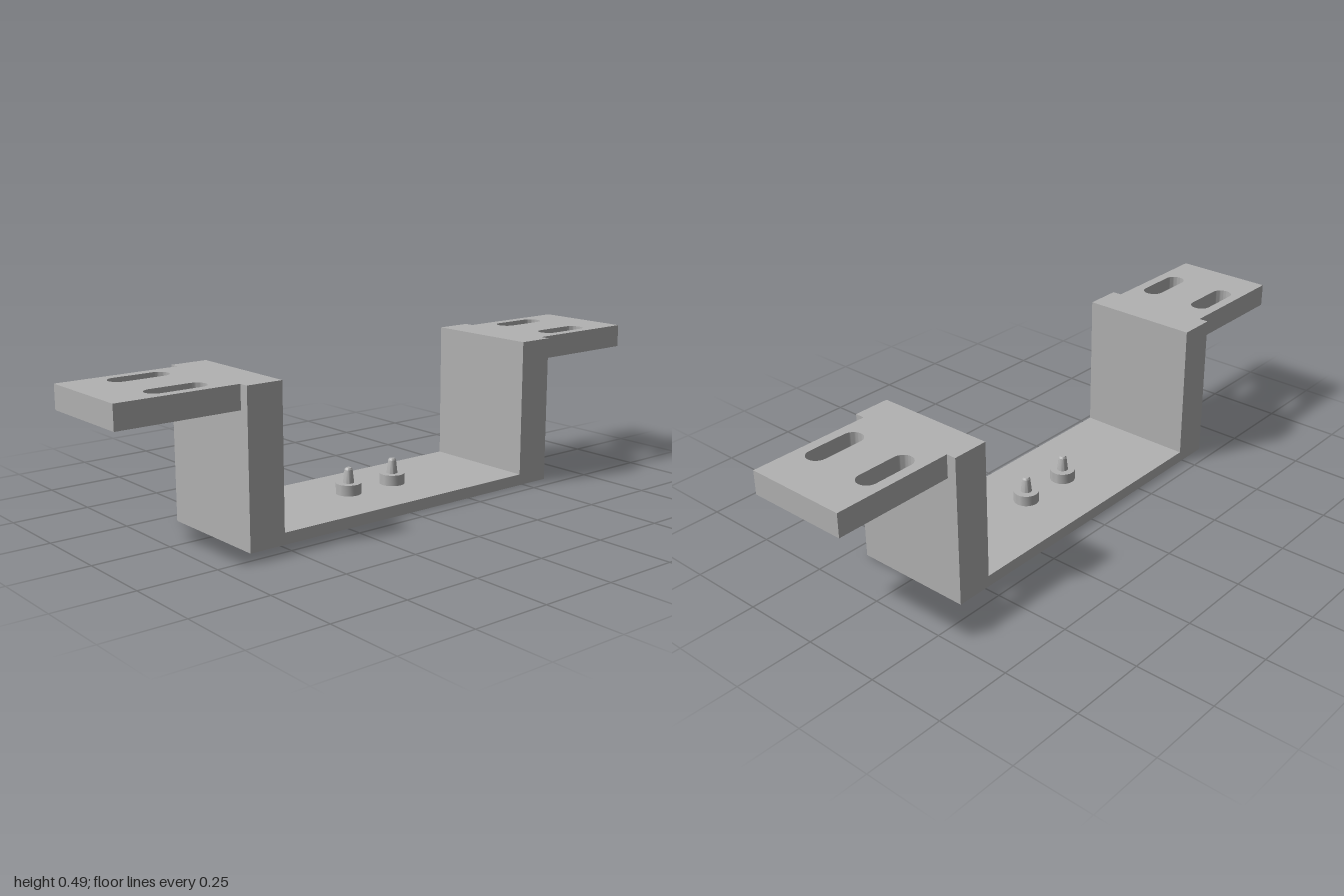
import * as THREE from 'three';
import { toCreasedNormals } from 'three/addons/utils/BufferGeometryUtils.js';

const HEIGHT = 0.486, OUTER = 0.605, INNER = 0.485, FLOOR = 0.037, DEPTH = 0.395;

// Extrude a shape and keep its corners sharp
function extrude(shape, depth) {
  const geo = new THREE.ExtrudeGeometry(shape, { depth, bevelEnabled: false, curveSegments: 16 });
  return toCreasedNormals(geo, 0.5);
}

// Rounded slot outline, lying along x
function slotPath(x0, x1, z, r) {
  const path = new THREE.Path();
  path.moveTo(x0 + r, z - r);
  path.lineTo(x1 - r, z - r);
  path.absarc(x1 - r, z, r, -Math.PI / 2, Math.PI / 2, false);
  path.lineTo(x0 + r, z + r);
  path.absarc(x0 + r, z, r, Math.PI / 2, Math.PI * 1.5, false);
  return path;
}

export function createModel() {
  const group = new THREE.Group();
  group.name = 'mountingBracket';
  const metal = new THREE.MeshStandardMaterial({ color: 0xb2b2b2 });
  metal.name = 'greyMetal';

  const add = (name, geo) => {
    const mesh = new THREE.Mesh(geo, metal);
    mesh.name = name;
    group.add(mesh);
    return mesh;
  };

  // U-shaped channel: floor and two walls in one piece
  const profile = new THREE.Shape([
    [-OUTER, 0], [OUTER, 0], [OUTER, HEIGHT], [INNER, HEIGHT],
    [INNER, FLOOR], [-INNER, FLOOR], [-INNER, HEIGHT], [-OUTER, HEIGHT],
  ].map(([x, y]) => new THREE.Vector2(x, y)));
  add('channel', extrude(profile, DEPTH).translate(0, 0, -DEPTH / 2));

  // Slotted mounting tab, flush with the top of the wall
  const tab = new THREE.Shape([
    [OUTER, -0.166], [1, -0.166], [1, 0.166], [OUTER, 0.166],
  ].map(([x, y]) => new THREE.Vector2(x, y)));
  for (const z of [-0.1, 0.1]) tab.holes.push(slotPath(0.675, 0.868, z, 0.033));
  const tabGeo = extrude(tab, 0.075).rotateX(-Math.PI / 2).translate(0, HEIGHT - 0.075, 0);

  // Locating stud: round collar with a tapered pin
  const studGeo = toCreasedNormals(new THREE.LatheGeometry([
    [0, 0], [0.041, 0], [0.041, 0.035], [0.018, 0.035],
    [0.013, 0.078], [0.009, 0.084], [0, 0.084],
  ].map(([r, y]) => new THREE.Vector2(r, y)), 32), 0.5);

  for (const [side, s] of [['left', 1], ['right', -1]]) {
    add(side + 'Tab', tabGeo).rotation.y = s > 0 ? 0 : Math.PI;
    add(side + 'Stud', studGeo).position.set(s * 0.091, FLOOR, 0);
  }
  return group;
}
